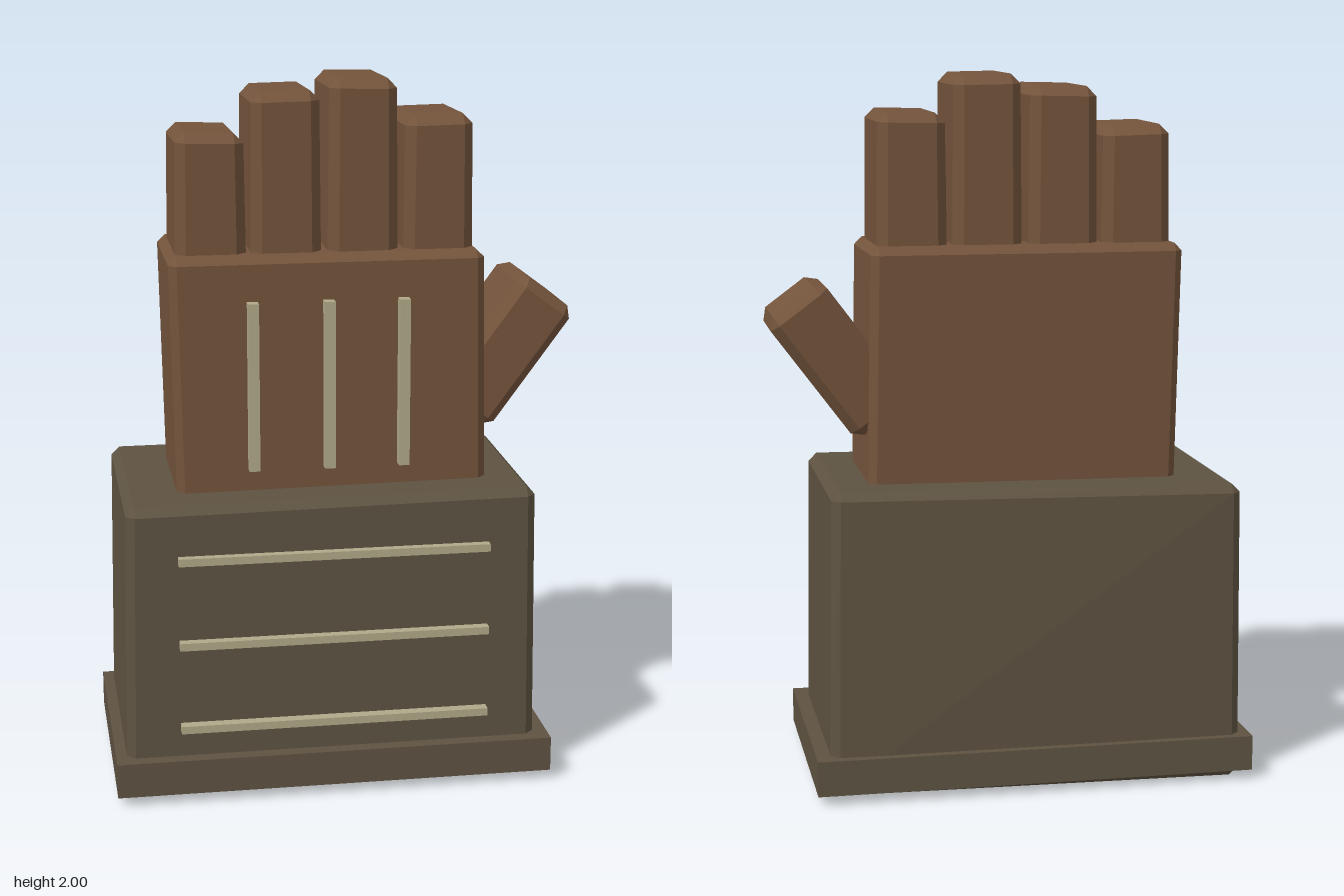
import * as THREE from 'three';
import { ConvexGeometry } from 'three/addons/geometries/ConvexGeometry.js';

function material(name, color) {
  const m = new THREE.MeshStandardMaterial({ color, flatShading: true });
  m.name = name;
  return m;
}

// Box with bevelled edges; warp(v) bends each point to give a hand-hewn shape
function bevelBox(w, h, d, r, warp = () => {}) {
  const points = [];
  for (const sx of [-1, 1]) for (const sy of [-1, 1]) for (const sz of [-1, 1]) {
    for (let axis = 0; axis < 3; axis++) {
      const v = new THREE.Vector3(
        sx * (w / 2 - (axis === 0 ? 0 : r)),
        sy * (h / 2 - (axis === 1 ? 0 : r)),
        sz * (d / 2 - (axis === 2 ? 0 : r))
      );
      warp(v);
      points.push(v);
    }
  }
  return new ConvexGeometry(points);
}

export function createModel() {
  const leather = material('brownLeather', 0x74543c);
  const cloth = material('oliveCloth', 0x5e5342);
  const thread = material('paleThread', 0xb0a888);

  const model = new THREE.Group();
  model.name = 'glove';
  const add = (name, geometry, mat, x, y, z) => {
    const mesh = new THREE.Mesh(geometry, mat);
    mesh.name = name;
    mesh.position.set(x, y, z);
    model.add(mesh);
    return mesh;
  };

  // Cuff: narrows slightly upwards, back edge pulled in on the left
  add('cuff', bevelBox(1.16, 0.86, 0.655, 0.024, v => {
    const t = v.y / 0.86 + 0.5;
    v.x *= 1.015 - 0.025 * t;
    v.y += v.x * 0.01;
    if (v.z > 0) v.z += 0.012 * (t - 0.5);
    else v.z += t * (v.x * 0.03 - 0.002);
  }), cloth, -0.058, 0.436, -0.005);
  add('cuffTrim', new THREE.BoxGeometry(1.245, 0.1, 0.716), cloth, -0.053, 0.078, 0);

  // Palm: leans a touch towards the little finger at the top
  add('palm', bevelBox(0.88, 0.7, 0.405, 0.022, v => {
    v.x -= v.y * 0.02;
    v.z *= 1 + 0.03 * v.y;
  }), leather, -0.046, 1.178, -0.004);

  // Fingers: centre x, tip height, tip slope
  const fingers = [
    ['littleFinger', -0.371, 1.86, -0.03],
    ['ringFinger', -0.162, 1.968, 0.02],
    ['middleFinger', 0.053, 2.0, -0.02],
    ['indexFinger', 0.265, 1.897, 0.02],
  ];
  for (const [name, x, top, slope] of fingers) {
    const h = top - 1.45;
    add(name, bevelBox(0.194, h, 0.32, 0.028, v => {
      const t = v.y / h + 0.5;
      v.x *= 1.02 - 0.05 * t;
      v.y += t * (slope * (v.x - 0.07 * Math.sign(slope)) + 0.02 * (v.z - 0.13));
    }), leather, x, 1.45 + h / 2 + 0.002, 0);
  }

  // Thumb
  const thumb = add('thumb', bevelBox(0.195, 0.42, 0.3, 0.028, v => {
    v.z -= v.y * 0.02;
  }), leather, 0.474, 1.212, -0.03);
  thumb.rotation.z = -0.64;

  // Raised stitching on the back of the hand and around the cuff front
  for (const x of [-0.265, -0.053, 0.157]) {
    add('handStitch', new THREE.BoxGeometry(0.03, 0.475, 0.045), thread, x, 1.165, 0.21);
  }
  for (const y of [0.217, 0.464, 0.71]) {
    add('cuffStitch', new THREE.BoxGeometry(0.875, 0.022, 0.04), thread, -0.055, y, 0.331);
  }
  return model;
}
